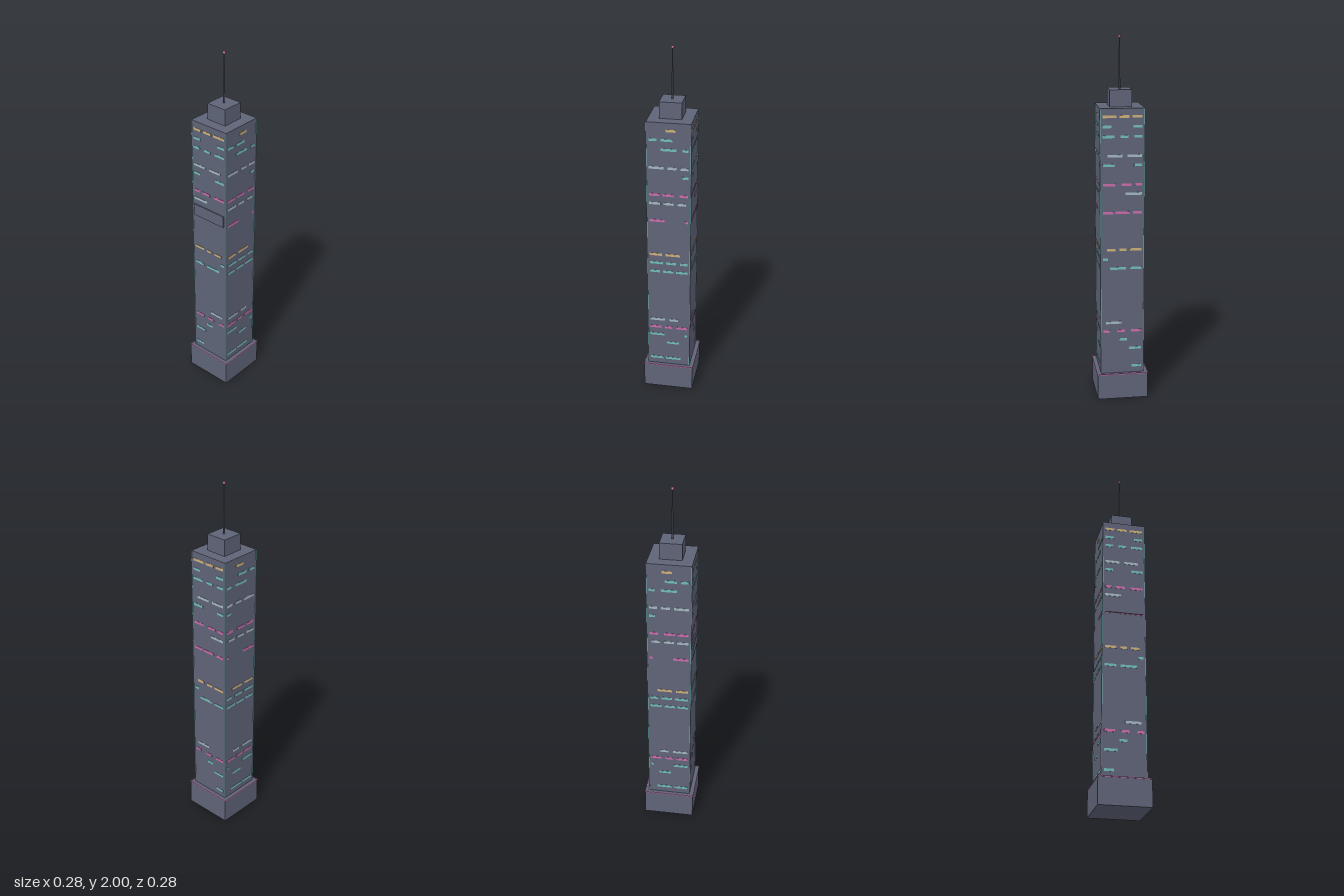
import * as THREE from 'three';

const material = (name, color) => {
  const m = new THREE.MeshStandardMaterial({ color });
  m.name = name;
  return m;
};

export function createModel() {
  const group = new THREE.Group();
  group.name = 'tower';

  const facade = material('slate facade', 0x5f6478);
  const metal = material('mast grey', 0x5d5f70);
  const pink = material('pink light', 0xcb6cac);
  const teal = material('teal light', 0x74bcbc);
  const amber = material('amber light', 0xcdb07c);
  const pale = material('pale light', 0xa3b8c2);

  const add = (parent, name, geometry, mat, x, y, z) => {
    const mesh = new THREE.Mesh(geometry, mat);
    mesh.name = name;
    mesh.position.set(x, y, z);
    parent.add(mesh);
    return mesh;
  };
  const box = (parent, name, mat, w, h, d, x, y, z) =>
    add(parent, name, new THREE.BoxGeometry(w, h, d), mat, x, y, z);

  // Stacked masses
  const half = 0.119;
  box(group, 'podium', facade, 0.28, 0.146, 0.28, 0, 0.073, 0);
  box(group, 'shaft', facade, half * 2, 1.484, half * 2, 0, 0.888, 0);
  box(group, 'crown', facade, 0.12, 0.09, 0.12, 0, 1.675, 0);

  // Antenna with beacon
  add(group, 'antenna', new THREE.CylinderGeometry(0.003, 0.005, 0.27, 8), metal, 0, 1.855, 0);
  add(group, 'beacon', new THREE.SphereGeometry(0.008, 8, 6), pink, 0, 1.992, 0);

  // Light strips around the podium rim and up the shaft corners
  for (const s of [-1, 1]) {
    box(group, 'podiumTrim', pink, 0.285, 0.005, 0.003, 0, 0.146, s * 0.141);
    box(group, 'podiumTrim', pink, 0.003, 0.005, 0.279, s * 0.141, 0.146, 0);
    for (const t of [-1, 1])
      box(group, 'cornerStrip', teal, 0.004, 1.48, 0.004, s * 0.1185, 0.887, t * 0.1185);
  }

  // Billboard on the front
  box(group, 'billboard', facade, 0.208, 0.068, 0.006, 0, 1.1, 0.123);

  // Window rows: height, colour, spans across front/back, spans along the sides
  // (spans in hundredths: start, end; side spans run from front to back)
  const rows = [
    [1.587, amber, [[-10.5, -5.3], [-3.7, 1.6], [3.2, 10.5]], [[1.6, -3.7]]],
    [1.534, teal, [[-10.5, -5.8], [5.8, 10.5]], [[10.5, 6.3], [4.2, -2.1]]],
    [1.481, teal, [[-10.5, -6.3], [-3.2, 1.1], [4.2, 10.5]], [[4.2, -4.2], [-7.4, -10.5]]],
    [1.378, pale, [[-10.5, -2.6], [0, 7.9]], [[10.5, 2.6], [0.5, -4.2], [-6.3, -10.5]]],
    [1.328, teal, [[-10.5, -6.3], [4.2, 10.5]], [[-7.4, -10.5]]],
    [1.222, pink, [[-10.5, -6.9], [-4.8, 0.5], [3.7, 10.5]], [[10.5, 4.8], [3.2, -2.6], [-5.8, -10.5]]],
    [1.172, pale, [[-10.5, -1.6]], [[10.5, 4.2], [2.6, -2.6], [-4.8, -9.5]]],
    [1.069, pink, [[-10.5, -5.8], [-3.7, 3.7], [4.8, 10.5]], [[10.5, 2.1], [-9, -10.5]]],
    [0.862, amber, [[-10.5, -4.2], [-2.1, 1.6], [3.7, 8.5]], [[10.5, 3.7], [1.6, -6.3]]],
    [0.81, teal, [[7.9, 10.5]], [[10.5, 3.2], [1.6, -4.2], [-6.3, -10.5]]],
    [0.757, teal, [[-10.5, -4.2], [-2.1, 6.9]], [[10.5, 4.8], [3.2, -2.6], [-4.2, -10.5]]],
    [0.444, pale, [[0.5, 9]], [[10.5, 2.1], [-0.5, -5.3]]],
    [0.394, pink, [[-10.5, -4.8], [-1.6, 2.6], [6.9, 10.5]], [[10.5, 4.2], [2.1, -2.1], [-4.2, -10.5]]],
    [0.344, teal, [[-2.6, 1.6]], [[10.5, 2.6], [-9, -10.5]]],
    [0.291, teal, [[-10.5, -3.7]], [[1.1, -5.8]]],
    [0.185, teal, [[-10.5, -5.3]], [[10.5, 3.2], [1.6, -6.9]]],
  ];
  const windows = new THREE.Group();
  windows.name = 'windows';
  group.add(windows);
  const h = 0.014, t = 0.003;
  for (const [y, mat, across, along] of rows) {
    for (const s of [-1, 1]) {
      for (const [a, b] of across)
        box(windows, 'window', mat, (b - a) / 100, h, t, (a + b) / 200, y, s * half);
      for (const [a, b] of along)
        box(windows, 'window', mat, t, h, (a - b) / 100, s * half, y, (a + b) / 200);
    }
  }
  return group;
}
